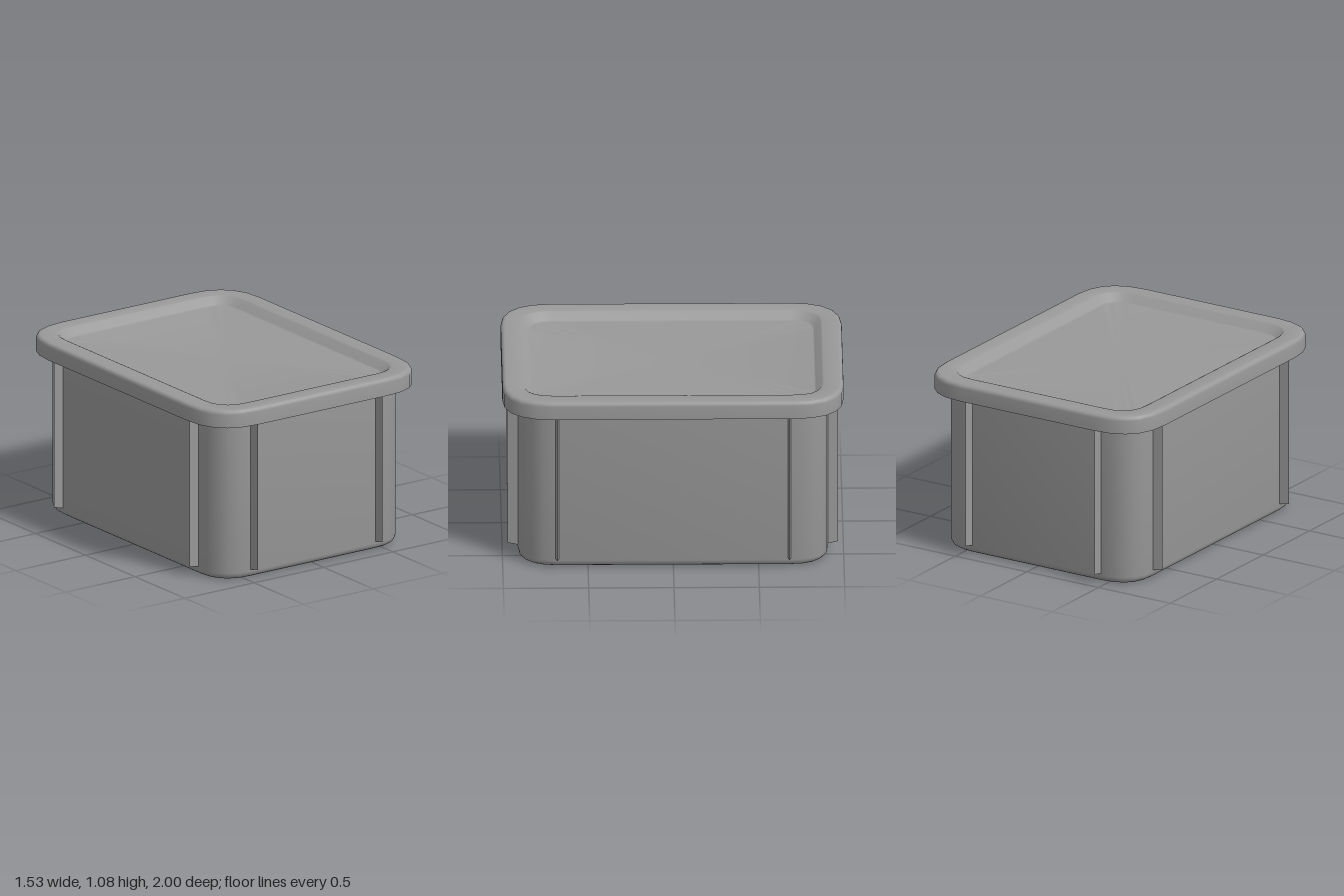
import * as THREE from 'three';
import { toCreasedNormals } from 'three/addons/utils/BufferGeometryUtils.js';

const material = new THREE.MeshStandardMaterial({ color: 0x999999 });

// Points round a rectangle with quadratic-curve corners, from +x towards +z
function ring(hx, hz, r, y, segs = 5) {
  const pts = [];
  for (let c = 0; c < 4; c++) {
    const sx = c === 0 || c === 3 ? 1 : -1;
    const sz = c < 2 ? 1 : -1;
    for (let i = 0; i <= segs; i++) {
      const t = c % 2 ? 1 - i / segs : i / segs;
      pts.push([sx * (hx - r * t * t), y, sz * (hz - r * (1 - t) * (1 - t))]);
    }
  }
  return pts;
}

// Sweeps an [inset, y] profile round a rounded rectangle and caps both ends
function loft(hx, hz, r, profile) {
  const rings = profile.map(([d, y]) => ring(hx - d, hz - d, Math.max(r - d, 0.02), y));
  const n = rings[0].length;
  const last = rings.length - 1;
  const pos = rings.flat(2);
  const idx = [];
  for (let k = 0; k < last; k++) {
    for (let i = 0; i < n; i++) {
      const a = k * n + i, b = k * n + (i + 1) % n;
      idx.push(a, a + n, b, b, a + n, b + n);
    }
  }
  const c0 = pos.length / 3;
  pos.push(0, profile[0][1], 0, 0, profile[last][1], 0);
  for (let i = 0; i < n; i++) {
    const j = (i + 1) % n;
    idx.push(c0, i, j, c0 + 1, last * n + j, last * n + i);
  }
  const geo = new THREE.BufferGeometry();
  geo.setAttribute('position', new THREE.Float32BufferAttribute(pos, 3));
  geo.setIndex(idx);
  return toCreasedNormals(geo, 0.65);
}

// Quarter-round profile points between two angles
function arc(d, y, r, from, to, steps = 4) {
  return Array.from({ length: steps + 1 }, (_, i) => {
    const a = from + (to - from) * i / steps;
    return [d - r * Math.cos(a), y + r * Math.sin(a)];
  });
}

// Wedge fin: wide at the wall, sharp at the outer edge, lower end slanted
function finGeometry(width, reach, top) {
  const outline = [[-0.01, width / 2], [reach, 0], [-0.01, -width / 2]].map(([x, y]) => new THREE.Vector2(x, y));
  const geo = new THREE.ExtrudeGeometry(new THREE.Shape(outline), { depth: 1, bevelEnabled: false });
  geo.rotateX(-Math.PI / 2);
  const p = geo.attributes.position;
  for (let i = 0; i < p.count; i++) {
    const bottom = 0.05 + 0.2 * Math.max(p.getX(i), 0);
    p.setY(i, p.getY(i) > 0.5 ? top : bottom);
  }
  geo.computeVertexNormals();
  return geo;
}

export function createModel() {
  const group = new THREE.Group();
  const add = (name, geo) => {
    const mesh = new THREE.Mesh(geo, material);
    mesh.name = name;
    group.add(mesh);
    return mesh;
  };

  // Hollow tub with a rounded bottom edge; the narrow flat ring keeps the base level
  add('tub', loft(0.68, 0.91, 0.23, [
    [0.05, 0],
    ...arc(0.04, 0.04, 0.04, -Math.PI / 2, 0),
    [0, 1.04], [0.02, 1.04], [0.02, 0.05], [0.05, 0.02],
  ]));

  // Lid with a hanging lip, rounded rim and flat sunken panel
  add('lid', loft(0.765, 1, 0.3, [
    [0.18, 1.005], [0.12, 1.045], [0.02, 1.045], [0.02, 0.97], [0, 0.97],
    ...arc(0.025, 1.05, 0.025, 0, Math.PI / 2),
    [0.03, 1.075], [0.115, 1.075], [0.125, 1.071], [0.16, 1.03], [0.17, 1.025], [0.175, 1.025],
  ]));

  // Upright fins, two on each wall
  const finGeo = finGeometry(0.022, 0.058, 0.985);
  for (const side of [1, -1]) {
    for (const end of [1, -1]) {
      const sideFin = add('sideFin', finGeo);
      sideFin.position.set(side * 0.68, 0, end * 0.68);
      sideFin.rotation.y = side > 0 ? 0 : Math.PI;
      const endFin = add('endFin', finGeo);
      endFin.position.set(side * 0.45, 0, end * 0.91);
      endFin.rotation.y = -end * Math.PI / 2;
    }
  }
  return group;
}
